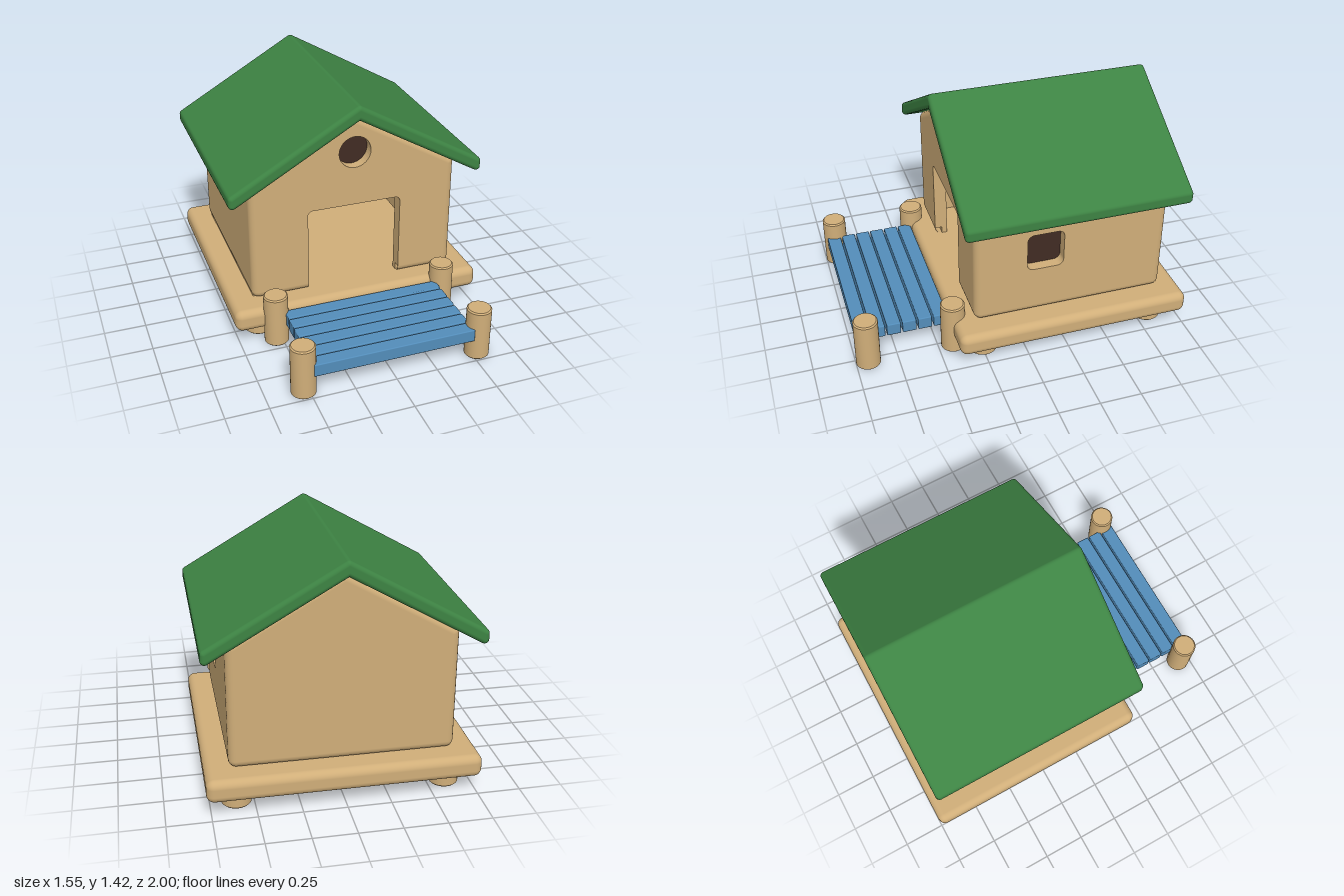
import * as THREE from 'three';
import { toCreasedNormals } from 'three/addons/utils/BufferGeometryUtils.js';
import { RoundedBoxGeometry } from 'three/addons/geometries/RoundedBoxGeometry.js';

const wood = new THREE.MeshStandardMaterial({ color: 0xd0ae79, side: THREE.DoubleSide });
wood.name = 'wood';
const green = new THREE.MeshStandardMaterial({ color: 0x3d8343 });
green.name = 'roofGreen';
const blue = new THREE.MeshStandardMaterial({ color: 0x538dba });
blue.name = 'plankBlue';
const dark = new THREE.MeshStandardMaterial({ color: 0x412b23 });
dark.name = 'darkPane';

// Convex prism along z with every edge rounded by radius r.
// core: counter-clockwise corners, already inset by r. skip(edge, band) leaves a strip open.
function roundedPrism(core, r, z0, z1, { skip = () => false, frontCap = true } = {}) {
  const n = core.length, cols = [], steps = 5;
  const normalAngle = (a, b) => Math.atan2(a[0] - b[0], b[1] - a[1]);
  core.forEach((p, i) => {
    const t0 = normalAngle(core[(i + n - 1) % n], p);
    let turn = normalAngle(p, core[(i + 1) % n]) - t0;
    while (turn < -1e-6) turn += Math.PI * 2;
    const s = turn < 1e-5 ? 1 : steps;
    for (let k = 0; k <= s; k++) cols.push({ p, t: t0 + turn * k / s, i });
  });
  const rings = [];
  for (let j = 0; j <= steps; j++) rings.push([(j / steps - 1) * Math.PI / 2, z0 + r]);
  for (let j = 0; j <= steps; j++) rings.push([j / steps * Math.PI / 2, z1 - r]);
  const pos = [], nor = [], idx = [], m = cols.length;
  for (const [f, z] of rings) {
    for (const { p, t } of cols) {
      const v = [Math.cos(f) * Math.cos(t), Math.cos(f) * Math.sin(t), Math.sin(f)];
      pos.push(p[0] + r * v[0], p[1] + r * v[1], z + r * v[2]);
      nor.push(...v);
    }
  }
  for (let j = 0; j < rings.length - 1; j++) {
    const band = j < steps ? 'back' : j === steps ? 'middle' : 'front';
    for (let k = 0; k < m; k++) {
      const q = (k + 1) % m;
      if (cols[k].i !== cols[q].i && skip(cols[k].i, band)) continue;
      const a = j * m + k, b = j * m + q;
      idx.push(a, b, b + m, a, b + m, a + m);
    }
  }
  const last = (rings.length - 1) * m;
  for (let k = 1; k < m - 1; k++) {
    idx.push(0, k + 1, k);
    if (frontCap) idx.push(last, last + k, last + k + 1);
  }
  const g = new THREE.BufferGeometry();
  g.setAttribute('position', new THREE.Float32BufferAttribute(pos, 3));
  g.setAttribute('normal', new THREE.Float32BufferAttribute(nor, 3));
  g.setIndex(idx);
  return g;
}

// Rounded rectangle outline, as a Shape or a Path for a hole.
function roundedRect(path, x0, y0, x1, y1, r) {
  path.moveTo(x0 + r, y0);
  path.lineTo(x1 - r, y0);
  path.absarc(x1 - r, y0 + r, r, -Math.PI / 2, 0);
  path.absarc(x1 - r, y1 - r, r, 0, Math.PI / 2);
  path.absarc(x0 + r, y1 - r, r, Math.PI / 2, Math.PI);
  path.absarc(x0 + r, y0 + r, r, Math.PI, Math.PI * 1.5);
  return path;
}

const slab = (shape, depth) =>
  new THREE.ExtrudeGeometry(shape, { depth, bevelEnabled: false, curveSegments: 16 });

// Round post standing on y = 0 with slightly softened rims.
function postGeometry(r, h, b = 0.008) {
  const pts = [[0, 0], [r - b, 0], [r, b], [r, h - b], [r - b, h], [0, h]];
  return toCreasedNormals(new THREE.LatheGeometry(pts.map(p => new THREE.Vector2(...p)), 32), 0.6);
}

export function createModel() {
  const model = new THREE.Group();
  model.name = 'stiltHouse';
  const add = (name, geometry, material, x = 0, y = 0, z = 0, parent = model) => {
    const mesh = new THREE.Mesh(geometry, material);
    mesh.name = name;
    mesh.position.set(x, y, z);
    parent.add(mesh);
    return mesh;
  };

  // Platform and its short legs
  add('platform', new RoundedBoxGeometry(1.55, 0.135, 1.42, 5, 0.045), wood, 0, 0.1675, -0.29);
  const leg = postGeometry(0.085, 0.12);
  for (const x of [-0.6, 0.6]) for (const z of [0.245, -0.82]) add('leg', leg, wood, x, 0, z);

  // House shell: open at the floor, the front and the left wall
  const house = new THREE.Group();
  house.name = 'house';
  model.add(house);
  const slope = Math.tan(Math.PI / 6), R = 0.045, wall = 0.08, floor = 0.235;
  const cx = 0.64 - R, cy = floor + R, door = 0.29, doorTop = 0.77;
  const apex = 1.335 - R / Math.cos(Math.PI / 6), eave = apex - slope * cx;
  const zFront = 0.3, zBack = -0.875;
  const core = [[-cx, cy], [-door, cy], [door, cy], [cx, cy], [cx, eave], [0, apex], [-cx, eave]];
  add('houseShell', roundedPrism(core, R, zBack, zFront, {
    frontCap: false,
    skip: (edge, band) => (band === 'middle' && edge <= 3) || (band === 'front' && edge === 1),
  }), wood, 0, 0, 0, house);

  // Front wall with doorway and round opening
  const front = new THREE.Shape();
  front.moveTo(-cx, cy);
  front.lineTo(-door, cy);
  front.lineTo(-door, doorTop - 0.03);
  front.absarc(-door + 0.03, doorTop - 0.03, 0.03, Math.PI, Math.PI / 2, true);
  front.absarc(door - 0.03, doorTop - 0.03, 0.03, Math.PI / 2, 0, true);
  front.lineTo(door, cy);
  front.lineTo(cx, cy);
  front.lineTo(cx, eave);
  front.lineTo(0, apex);
  front.lineTo(-cx, eave);
  front.closePath();
  front.holes.push(new THREE.Path().absarc(0, 1.108, 0.098, 0, Math.PI * 2));
  add('frontWall', slab(front, wall), wood, 0, 0, zFront - wall, house);
  const sill = new THREE.BoxGeometry(cx - door, R, wall - R);
  for (const s of [-1, 1]) {
    add('doorSill', sill, wood, s * (cx + door) / 2, floor + R / 2, zFront - (wall + R) / 2, house);
  }
  const roundPane = add('roundPane', new THREE.CylinderGeometry(0.098, 0.098, 0.008, 40), dark,
    0, 1.108, zFront - 0.068, house);
  roundPane.rotation.x = Math.PI / 2;

  // Left wall with its window; plain lining on the right
  const z0 = zBack + R, z1 = zFront - R;
  const side = new THREE.Shape();
  side.moveTo(-z1, cy);
  side.lineTo(-z0, cy);
  side.lineTo(-z0, eave);
  side.lineTo(-z1, eave);
  side.closePath();
  const windowBox = [0.015, 0.54, 0.237, 0.78, 0.04];
  side.holes.push(roundedRect(new THREE.Path(), ...windowBox));
  const leftWall = add('leftWall', slab(side, wall), wood, 0.64 - wall, 0, 0, house);
  const pane = add('windowPane', slab(roundedRect(new THREE.Shape(), ...windowBox), 0.008), dark,
    0.64 - 0.072, 0, 0, house);
  leftWall.rotation.y = pane.rotation.y = Math.PI / 2;
  add('rightLining', new THREE.BoxGeometry(0.07, eave - floor, z1 - z0), wood,
    -0.595, (eave + floor) / 2, (z0 + z1) / 2, house);

  // Roof: two rounded slopes meeting at the ridge
  const rx = 0.75, rTop = 1.395, rLow = 1.36;
  const half = [[0, rLow], [rx, rLow - slope * rx], [rx, rTop - slope * rx], [0, rTop]];
  const mirrored = half.map(([x, y]) => [-x, y]).reverse();
  add('roofLeft', roundedPrism(half, 0.025, -0.96, 0.385), green);
  add('roofRight', roundedPrism(mirrored, 0.025, -0.96, 0.385), green);

  // Gangway planks and corner posts
  const plank = new RoundedBoxGeometry(0.975, 0.078, 0.084, 2, 0.006);
  for (let i = 0; i < 6; i++) add('plank', plank, blue, 0, 0.17, 0.943 - i * 0.0945);
  const post = postGeometry(0.073, 0.32);
  for (const x of [-0.533, 0.533]) for (const z of [0.927, 0.409]) add('post', post, wood, x, 0, z);

  return model;
}
